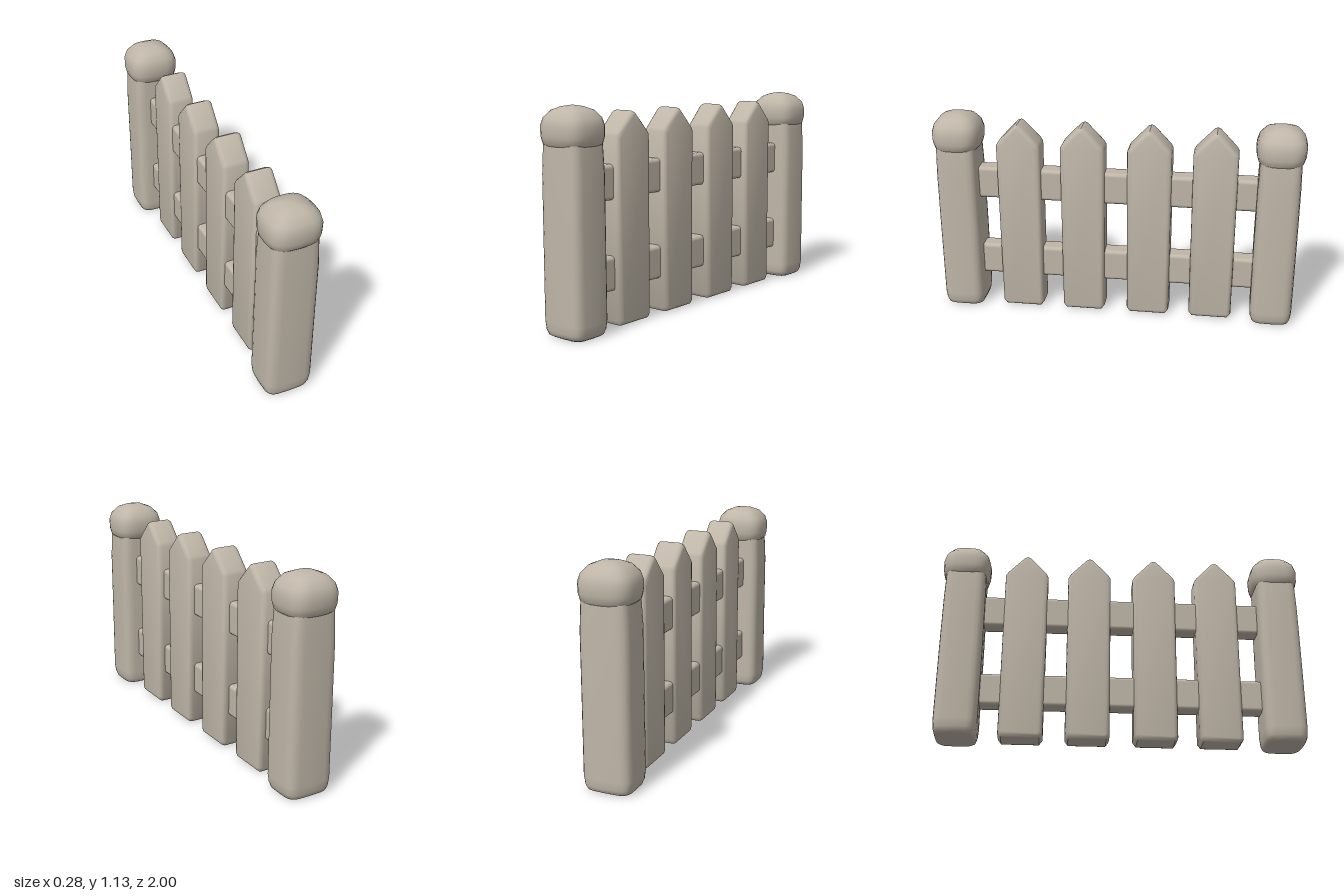
import * as THREE from 'three';
import { toCreasedNormals, mergeVertices } from 'three/addons/utils/BufferGeometryUtils.js';
import { RoundedBoxGeometry } from 'three/addons/geometries/RoundedBoxGeometry.js';

// Loft of rounded-square rings, each [y, half width x, half depth z]
function loft(rings, power, sides = 24) {
  const pos = [], idx = [];
  const round = (v) => Math.sign(v) * Math.pow(Math.abs(v), 2 / power);
  for (const [y, hx, hz] of rings) {
    for (let i = 0; i < sides; i++) {
      const a = (i / sides) * Math.PI * 2;
      pos.push(hx * round(Math.cos(a)), y, hz * round(Math.sin(a)));
    }
  }
  for (let r = 0; r < rings.length - 1; r++) {
    for (let i = 0; i < sides; i++) {
      const a = r * sides + i, b = r * sides + (i + 1) % sides;
      idx.push(a, a + sides, b, b, a + sides, b + sides);
    }
  }
  const geo = new THREE.BufferGeometry();
  geo.setAttribute('position', new THREE.Float32BufferAttribute(pos, 3));
  geo.setIndex(idx);
  const welded = mergeVertices(geo, 1e-5);
  welded.computeVertexNormals();
  return welded;
}

// Pointed board, bevelled all round, facing along x
function picketGeometry() {
  const outline = [[-0.1, 0.006], [0.1, 0.006], [0.1175, 0.03], [0.119, 0.965],
    [0.108, 0.985], [0.018, 1.08], [0, 1.088], [-0.018, 1.08], [-0.108, 0.985],
    [-0.119, 0.965], [-0.1175, 0.03]];
  const shape = new THREE.Shape(outline.map(([x, y]) => new THREE.Vector2(x, y)));
  const geo = new THREE.ExtrudeGeometry(shape, {
    depth: 0.096, bevelEnabled: true, bevelThickness: 0.027,
    bevelSize: 0.022, bevelOffset: -0.022, bevelSegments: 3,
  });
  geo.translate(0, 0, -0.048).rotateY(Math.PI / 2);
  return toCreasedNormals(geo, 0.75);
}

export function createModel() {
  const group = new THREE.Group();
  const wood = new THREE.MeshStandardMaterial({ color: 0xbfb6a8 });
  wood.name = 'paleWood';

  const add = (name, geo, x, y, z) => {
    const mesh = new THREE.Mesh(geo, wood);
    mesh.name = name;
    mesh.position.set(x, y, z);
    group.add(mesh);
  };

  // End posts with bulbous caps
  const post = loft([[0.004, 0, 0], [0.004, 0.105, 0.09], [0.012, 0.118, 0.104],
    [0.035, 0.127, 0.112], [0.08, 0.133, 0.116], [0.5, 0.131, 0.116],
    [0.8, 0.131, 0.114], [0.96, 0.122, 0.11]], 4.5);
  const cap = loft([[0.93, 0, 0], [0.93, 0.115, 0.105], [0.945, 0.133, 0.12],
    [0.98, 0.141, 0.13], [1.03, 0.142, 0.132], [1.07, 0.129, 0.12],
    [1.105, 0.094, 0.09], [1.122, 0.05, 0.048], [1.13, 0, 0]], 3);
  for (const side of [1, -1]) {
    const label = side > 0 ? 'front' : 'back';
    add(label + 'Post', post, 0, 0, side * 0.868);
    add(label + 'PostCap', cap, 0, 0, side * 0.868);
  }

  // Pointed pickets
  const picket = picketGeometry();
  [0.528, 0.18, -0.182, -0.532].forEach((z, i) => add('picket' + (i + 1), picket, 0.01, 0, z));

  // Horizontal rails between the posts
  const rail = new RoundedBoxGeometry(0.1, 0.178, 1.66, 3, 0.02);
  add('lowerRail', rail, 0, 0.277, 0);
  add('upperRail', rail, 0, 0.739, 0);

  return group;
}
